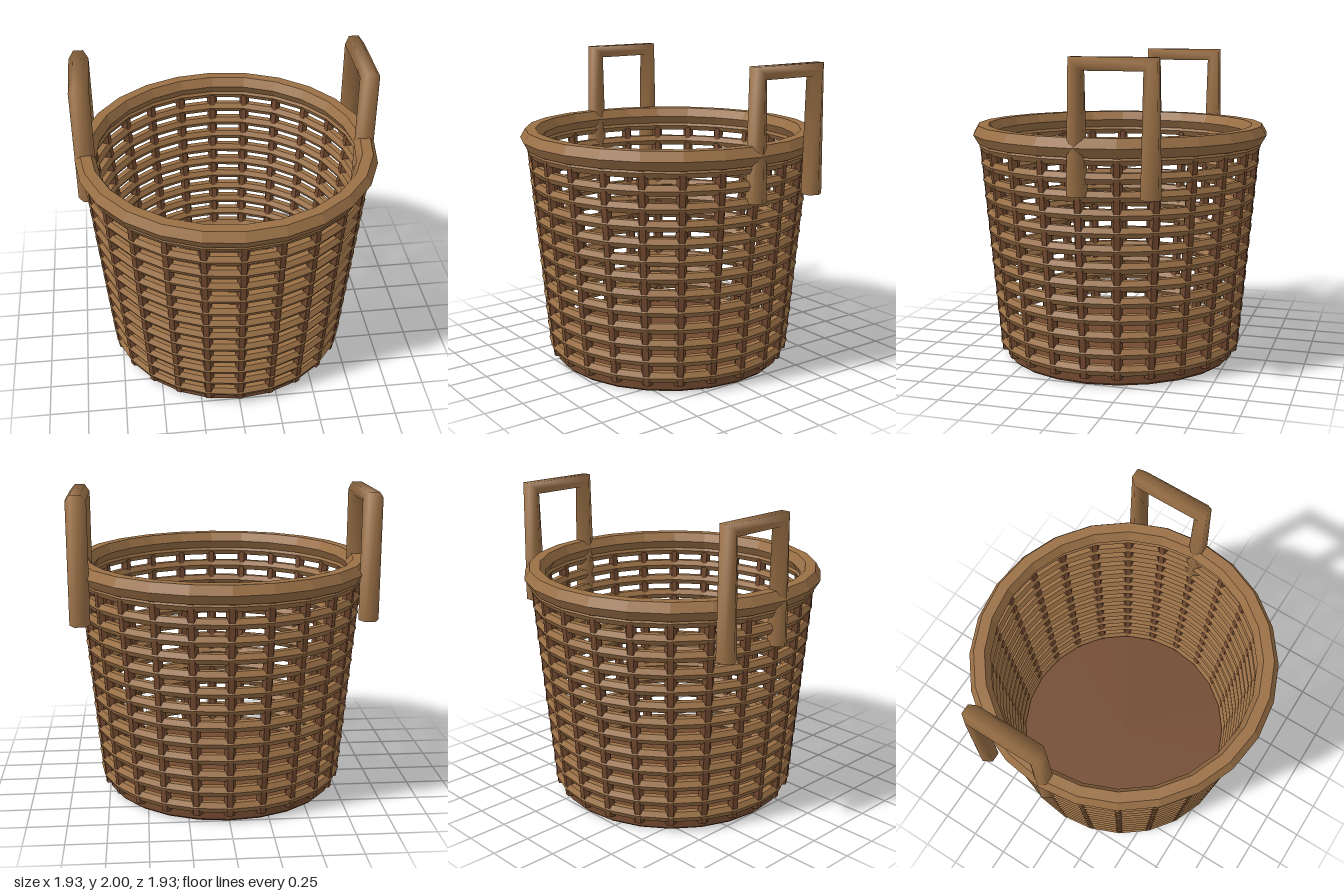
import * as THREE from 'three';

const wicker = new THREE.MeshStandardMaterial({ color: 0x9a7046 });
wicker.name = 'light wicker';
const darkWood = new THREE.MeshStandardMaterial({ color: 0x734a30 });
darkWood.name = 'dark wood';

const SIDES = 24;
const SLOPE = 0.089;
const wallRadius = (y) => 0.764 + SLOPE * y;

// Give every face its own normal
function faceted(geometry) {
  const g = geometry.index ? geometry.toNonIndexed() : geometry;
  g.computeVertexNormals();
  return g;
}

function addMesh(parent, name, geometry, material) {
  const mesh = new THREE.Mesh(geometry, material);
  mesh.name = name;
  parent.add(mesh);
  return mesh;
}

// Horizontal six-sided hoop
function hoop(radius, tube) {
  return faceted(new THREE.TorusGeometry(radius, tube, 6, SIDES).rotateX(Math.PI / 2));
}

// Square-cornered six-sided bar: two posts joined by a crossbar, mitred at the corners
const HANDLE = { r: 0.064, bottom: 1.195, top: 1.961, z0: 0, z1: -0.445 };
function handleGeometry() {
  const { r, bottom, top, z0, z1 } = HANDLE;
  const d = Math.SQRT1_2;
  // centre y, centre z, outward direction y, outward direction z
  const rings = [
    [bottom, z0, 0, 1],
    [top, z0, d, d],
    [top, z1, d, -d],
    [bottom, z1, 0, -1],
  ];
  const positions = [];
  const index = [];
  rings.forEach(([y, z, ny, nz], k) => {
    for (let i = 0; i < 6; i++) {
      const a = (i * Math.PI) / 3;
      const s = Math.sin(a) * r;
      positions.push(Math.cos(a) * r, y + ny * s, z + nz * s);
      if (k < rings.length - 1) {
        const p = k * 6 + i;
        const q = k * 6 + ((i + 1) % 6);
        index.push(p, p + 6, q, q, p + 6, q + 6);
      }
    }
  });
  const g = new THREE.BufferGeometry();
  g.setAttribute('position', new THREE.Float32BufferAttribute(positions, 3));
  g.setIndex(index);
  g.computeVertexNormals();
  return g;
}

export function createModel() {
  const basket = new THREE.Group();
  basket.name = 'basket';

  // Floor disc with a bevelled lower edge
  const baseProfile = [[0, 0], [0.748, 0], [0.764, 0.015], [0.764, 0.08], [0, 0.08]]
    .map(([x, y]) => new THREE.Vector2(x, y));
  addMesh(basket, 'base', faceted(new THREE.LatheGeometry(baseProfile, SIDES)), darkWood);

  // Upright stakes leaning outwards
  const y0 = 0.053;
  const y1 = 1.47;
  const tilt = Math.atan(SLOPE);
  const stakeGeometry = faceted(new THREE.CylinderGeometry(0.035, 0.035, (y1 - y0) / Math.cos(tilt), 6));
  const stakes = new THREE.Group();
  stakes.name = 'stakes';
  basket.add(stakes);
  for (let i = 0; i < SIDES; i++) {
    const pivot = new THREE.Group();
    pivot.rotation.y = (i / SIDES) * Math.PI * 2;
    stakes.add(pivot);
    const stake = addMesh(pivot, 'stake', stakeGeometry, darkWood);
    const mid = (y0 + y1) / 2;
    stake.position.set(wallRadius(mid), mid, 0);
    stake.rotation.z = -tilt;
  }

  // Woven hoops
  const weave = new THREE.Group();
  weave.name = 'weave';
  basket.add(weave);
  for (let i = 0; i < 13; i++) {
    const y = 0.105 + i * 0.1087;
    addMesh(weave, 'weaveHoop', hoop(wallRadius(y), 0.038), wicker).position.y = y;
  }

  // Thick rim
  addMesh(basket, 'rim', hoop(0.897, 0.067), wicker).position.y = 1.482;

  // Handles on both sides
  const bar = handleGeometry();
  const cap = new THREE.CircleGeometry(HANDLE.r, 6).rotateX(Math.PI / 2);
  for (const side of [1, -1]) {
    const handle = new THREE.Group();
    handle.name = side > 0 ? 'leftHandle' : 'rightHandle';
    handle.position.x = side * 0.898;
    basket.add(handle);
    addMesh(handle, 'handleBar', bar, wicker);
    for (const z of [HANDLE.z0, HANDLE.z1]) {
      addMesh(handle, 'handleEnd', cap, wicker).position.set(0, HANDLE.bottom, z);
    }
  }
  return basket;
}
